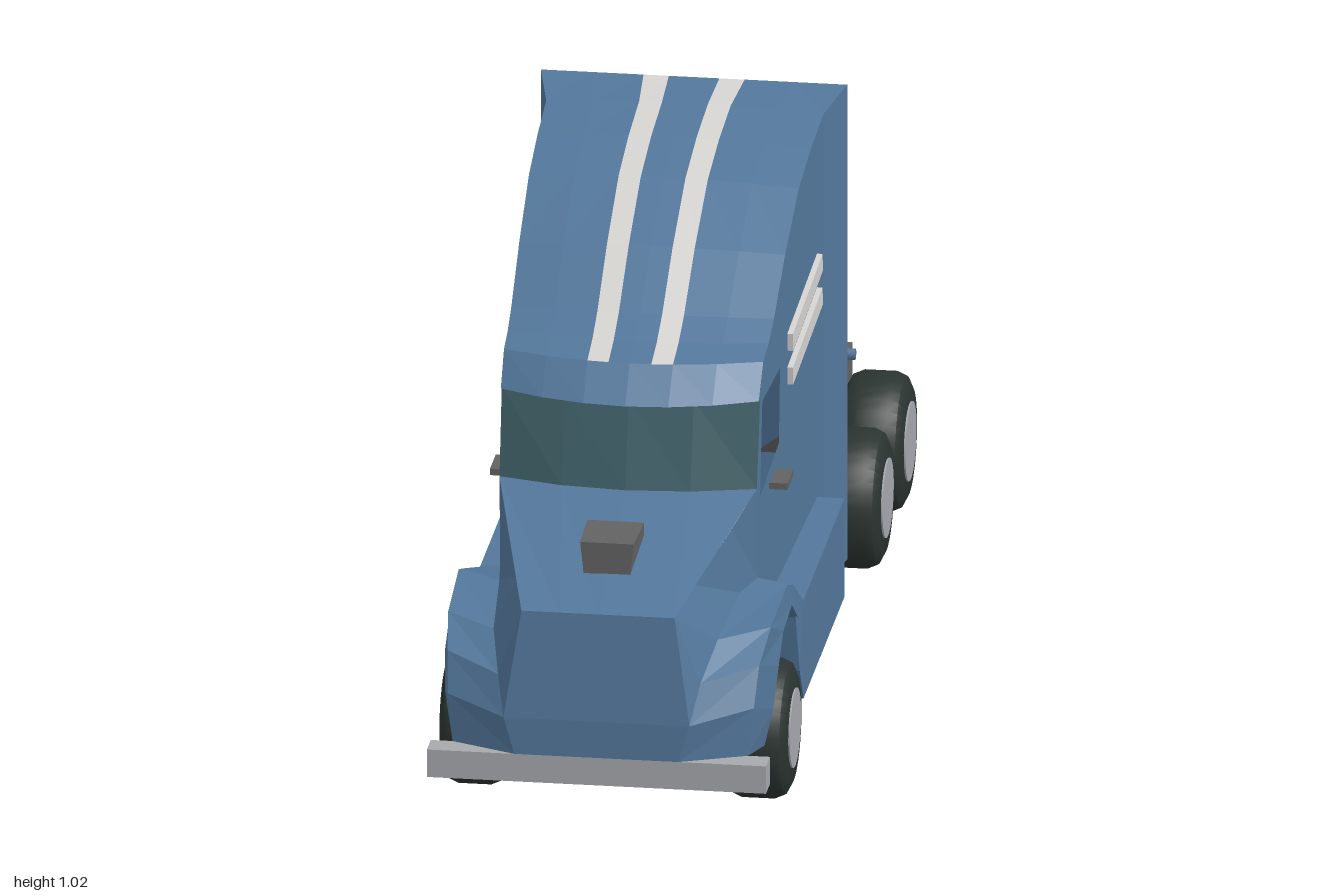
import * as THREE from 'three';
import { toCreasedNormals } from 'three/addons/utils/BufferGeometryUtils.js';

const paint = (name, color, side = THREE.FrontSide) => {
  const m = new THREE.MeshStandardMaterial({ color, side });
  m.name = name;
  return m;
};

export function createModel() {
  const truck = new THREE.Group();
  truck.name = 'truck';
  const blue = paint('body blue', 0x53779b, THREE.DoubleSide);
  const glass = paint('windshield teal', 0x3f6068, THREE.DoubleSide);
  const white = paint('stripe white', 0xd6d4d1, THREE.DoubleSide);
  const grey = paint('frame grey', 0x626262, THREE.DoubleSide);
  const silver = paint('metal silver', 0xa6a8ad);
  const rubber = paint('tyre rubber', 0x2b3431);

  const add = (name, geo, mat, x = 0, y = 0, z = 0) => {
    const mesh = new THREE.Mesh(geo, mat);
    mesh.name = name;
    mesh.position.set(x, y, z);
    truck.add(mesh);
    return mesh;
  };
  // Box given by its limits on each axis
  const box = (name, mat, [x0, x1], [y0, y1], [z0, z1]) =>
    add(name, new THREE.BoxGeometry(Math.abs(x1 - x0), y1 - y0, z1 - z0), mat,
      (x0 + x1) / 2, (y0 + y1) / 2, (z0 + z1) / 2);
  // Faceted surface through rows of points
  const sheet = (name, mat, rows) => {
    const p = [];
    for (let i = 0; i + 1 < rows.length; i++) {
      for (let j = 0; j + 1 < rows[i].length; j++) {
        const a = rows[i][j], b = rows[i][j + 1], c = rows[i + 1][j + 1], d = rows[i + 1][j];
        p.push(...a, ...d, ...c, ...a, ...c, ...b);
      }
    }
    const g = new THREE.BufferGeometry();
    g.setAttribute('position', new THREE.Float32BufferAttribute(p, 3));
    g.computeVertexNormals();
    return add(name, g, mat);
  };
  const flip = (s, pts) => pts.map(([x, y, z]) => [s * x, y, z]);
  const path = pts => pts.map(([a, b]) => new THREE.Vector2(a, b));
  // Flat outline with an optional hole, each 2D point placed by a rule
  const plate = (name, mat, outline, hole, place) => {
    const shape = new THREE.Shape(path(outline));
    if (hole) shape.holes.push(new THREE.Path(path(hole)));
    let g = new THREE.ShapeGeometry(shape);
    const pos = g.attributes.position;
    for (let i = 0; i < pos.count; i++) pos.setXYZ(i, ...place(pos.getX(i), pos.getY(i)));
    g = g.toNonIndexed();
    g.computeVertexNormals();
    return add(name, g, mat);
  };

  // Cab half width along z, flared at the rear corners
  const half = z => z < -0.14 ? 0.2535 + (-0.14 - z) * 0.22 : 0.25 - 0.025 * z;

  // Roof stations: z, y, edge setback, edge drop
  const stations = [
    [-0.26, 1.018, 0, 0], [-0.14, 1.012, 0, 0.008], [0, 1.0, 0, 0.012], [0.14, 0.973, 0.01, 0.012],
    [0.3, 0.9, 0.02, 0.012], [0.433, 0.818, 0.03, 0.008], [0.5, 0.79, 0.04, 0.006],
    [0.57, 0.773, 0.05, 0.003], [0.63, 0.712, 0.06, 0], [0.585, 0.71, 0.03, 0],
  ];
  const roofRow = fs => ([z, y, set, drop]) =>
    fs.map(f => [f * half(z - set), y - drop * f * f, z - set * f * f]);
  const top = stations.slice(0, 8);
  sheet('roofCentre', blue, top.map(roofRow([-0.165, 0, 0.165])));
  sheet('visor', blue, stations.slice(7).map(roofRow([-1, -0.66, -0.33, 0, 0.33, 0.66, 1])));
  for (const s of [-1, 1]) {
    sheet('roofStripe', white, top.map(roofRow([s * 0.165, s * 0.33])));
    sheet('roofSide', blue, top.map(roofRow([s * 0.33, s * 0.66, s])));
  }

  // Windshield and hood
  const arc = (y, z, back, f) => [f * half(z - back), y, z - back * f * f];
  const fs = [-1, -0.5, 0, 0.5, 1];
  const sill = fs.map(f => arc(0.55, 0.63, 0.04, f));
  sheet('windshield', glass, [fs.map(f => arc(0.71, 0.585, 0.03, f)), sill]);
  sheet('hoodTop', blue, [sill, fs.map(f => [f * 0.14, 0.44, 0.98])]);
  sheet('nose', blue, [[0.14, 0.44, 0.98], [0.17, 0.24, 1], [0.15, 0.17, 1]]
    .map(p => [[-p[0], p[1], p[2]], p]));
  const scoop = box('hoodScoop', grey, [-0.052, 0.052], [0.475, 0.535], [0.75, 0.865]);
  const sp = scoop.geometry.attributes.position;
  for (let i = 0; i < sp.count; i++) {
    if (sp.getZ(i) > 0) sp.setX(i, sp.getX(i) * (sp.getY(i) > 0 ? 0.94 : 0.82));
  }
  scoop.geometry.computeVertexNormals();

  // Fender stations: hood edge, hood seam, crown, arch lip
  const fender = [
    [[0.14, 0.44, 0.98], [0.15, 0.17, 1], [0.27, 0.17, 0.95], [0.285, 0.15, 0.84]],
    [[0.14, 0.44, 0.98], [0.17, 0.24, 1], [0.28, 0.26, 0.945], [0.3, 0.22, 0.835]],
    [[0.14, 0.44, 0.98], [0.185, 0.31, 0.965], [0.285, 0.33, 0.91], [0.305, 0.29, 0.8]],
    [[0.164, 0.468, 0.88], [0.205, 0.365, 0.88], [0.295, 0.375, 0.83], [0.305, 0.335, 0.74]],
    [[0.206, 0.515, 0.71], [0.22, 0.39, 0.7], [0.3, 0.393, 0.66], [0.305, 0.345, 0.63]],
    [[0.2353, 0.55, 0.59], [0.2355, 0.375, 0.58], [0.3, 0.365, 0.58], [0.305, 0.29, 0.55]],
    [[0.2353, 0.55, 0.59], [0.238, 0.29, 0.46], [0.302, 0.29, 0.46], [0.305, 0.18, 0.53]],
    [[0.2353, 0.55, 0.59], [0.238, 0.29, 0.46], [0.302, 0.29, 0.46], [0.302, 0.1, 0.46]],
  ];
  const roofEdge = stations.slice(1).map(([z, y, set, drop]) => [z - set, y - drop]);
  const sideOutline = [[-0.14, 0.1], ...roofEdge, [0.59, 0.55], [0.58, 0.375], [0.46, 0.29], [0.46, 0.1]];
  const windowHole = [[0.53, 0.698], [0.337, 0.69], [0.348, 0.55], [0.555, 0.522]];

  for (const s of [-1, 1]) {
    sheet('hoodSide', blue, fender.slice(1, 6).map(r => flip(s, r.slice(0, 2))));
    sheet('fender', blue, fender.map(r => flip(s, r.slice(1))));
    sheet('archLiner', blue, fender.map(r => flip(s, [r[3], [0.2, r[3][1], r[3][2]]])));
    plate('archWall', blue, [[0.84, 0.13], ...fender.map(r => [r[3][2], r[3][1]])], null,
      (z, y) => [s * 0.2, y, z]);
    sheet('fenderBase', blue, [
      flip(s, [[0.15, 0.17, 1], [0.27, 0.17, 0.95]]),
      flip(s, [[0.2, 0.13, 0.95], [0.275, 0.165, 0.92]]),
      flip(s, [[0.2, 0.13, 0.84], [0.285, 0.15, 0.84]])]);

    // Cab side with open window, rear flare and skirt
    plate('cabSide', blue, sideOutline, windowHole, (z, y) => [s * half(z), y, z]);
    sheet('rearFlare', blue, [
      flip(s, [[0.2535, 0.1, -0.14], [0.28, 0.1, -0.26]]),
      flip(s, [[0.2535, 1.004, -0.14], [0.28, 1.018, -0.26]])]);
    box('sideSkirt', blue, [s * 0.235, s * 0.302], [0.1, 0.29], [-0.07, 0.46]);
    box('doorHandle', grey, [s * 0.235, s * 0.272], [0.5, 0.512], [0.38, 0.455]);
    for (const y of [0.72, 0.655]) {
      const bar = add('sideLouvre', new THREE.BoxGeometry(0.018, 0.034, 0.328), white, s * 0.249, y + 0.007, 0.0925);
      bar.rotation.set(0.105, -s * 0.025, 0);
    }

    // Back wall with a tapered recess on each side
    plate('backPanel', blue, [[0.093, 0.1], [0.28, 0.1], [0.28, 1.018], [0.093, 1.018]],
      [[0.113, 0.3], [0.262, 0.3], [0.262, 0.995], [0.113, 0.995]], (x, y) => [s * x, y, -0.26]);
    const outer = flip(s, [[0.113, 0.3, -0.26], [0.262, 0.3, -0.26], [0.262, 0.995, -0.26], [0.113, 0.995, -0.26]]);
    const inner = flip(s, [[0.178, 0.36, -0.22], [0.197, 0.36, -0.22], [0.197, 0.93, -0.22], [0.178, 0.93, -0.22]]);
    for (let i = 0; i < 4; i++) {
      const k = (i + 1) % 4;
      sheet('recessWall', i % 2 ? blue : grey, [[outer[i], outer[k]], [inner[i], inner[k]]]);
    }
    sheet('recessSlot', grey, [[inner[0], inner[1]], [inner[3], inner[2]]]);
    sheet('backStripe', white, [0.1, 1.018].map(y => flip(s, [[0.046, y, -0.26], [0.093, y, -0.26]])));
    box('deckPlate', silver, [s * 0.119, s * 0.124], [0.262, 0.304], [-1, -0.71]);
  }
  sheet('backCentre', blue, [0.1, 1.018].map(y => [[-0.046, y, -0.26], [0.046, y, -0.26]]));

  // Underside
  sheet('underside', blue, [[0.15, 0.17, 1], [0.2, 0.13, 0.95], [0.2, 0.13, 0.84], [0.2, 0.1, 0.46]]
    .map(p => [[-p[0], p[1], p[2]], p]));
  sheet('cabFloor', blue, [[0.3, 0.46], [0.2535, -0.14], [0.28, -0.26]]
    .map(([x, z]) => [[-x, 0.1, z], [x, 0.1, z]]));
  box('underTray', blue, [-0.18, 0.18], [0.1, 0.155], [-0.38, -0.26]);

  // Bumper and chassis
  box('bumper', silver, [-0.31, 0.31], [0.117, 0.17], [0.95, 1]);
  box('chassisFrame', grey, [-0.185, 0.185], [0.155, 0.24], [-1, -0.26]);
  box('deck', blue, [-0.12, 0.12], [0.24, 0.305], [-1, -0.26]);
  for (const z of [-0.43, -0.86]) {
    add('crossRod', new THREE.CylinderGeometry(0.011, 0.011, 0.42, 8), blue, 0, 0.27, z).rotation.z = Math.PI / 2;
  }

  // Wheels
  const profile = path([[0, -0.058], [0.1, -0.058], [0.12, -0.048], [0.128, -0.03],
    [0.128, 0.03], [0.12, 0.048], [0.1, 0.058], [0, 0.058]]);
  const tyre = toCreasedNormals(new THREE.LatheGeometry(profile, 32), 0.7);
  const hub = new THREE.CylinderGeometry(0.073, 0.073, 0.01, 32);
  for (const s of [-1, 1]) {
    for (const [name, z] of [['front', 0.69], ['middle', -0.505], ['rear', -0.8]]) {
      add(name + 'Tyre', tyre, rubber, s * 0.259, 0.128, z).rotation.z = -s * Math.PI / 2;
      add(name + 'Hub', hub, silver, s * 0.315, 0.13, z).rotation.z = -s * Math.PI / 2;
    }
  }
  return truck;
}
